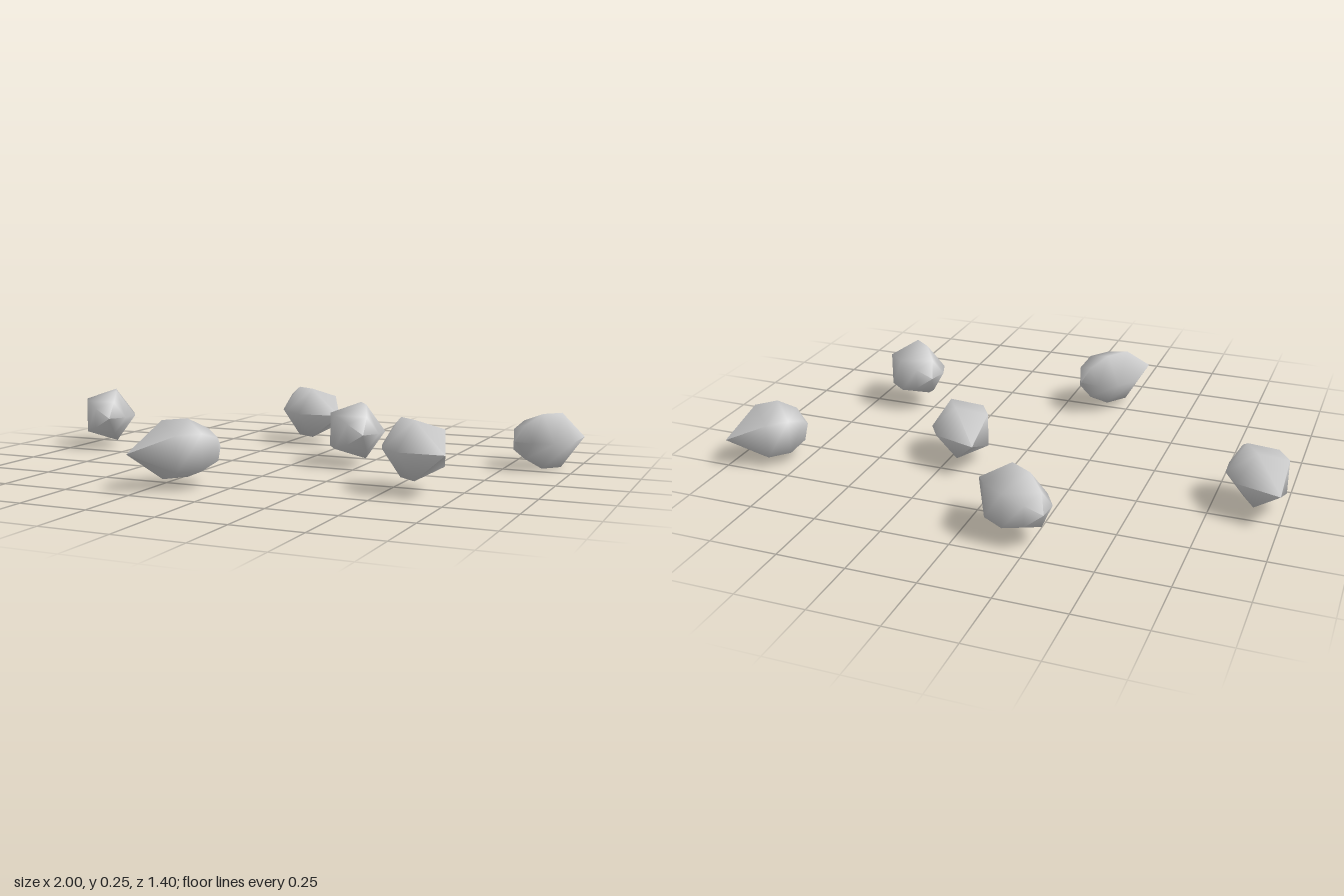
import * as THREE from 'three';

// Five-sided seed: pointed tip at the origin facing +z, rounded end behind it
function seedGeometry() {
  const profile = [[0, -0.35], [0.067, -0.315], [0.108, -0.24], [0.108, -0.145], [0, 0]]
    .map(([r, y]) => new THREE.Vector2(r, y));
  const geometry = new THREE.LatheGeometry(profile, 5);
  geometry.rotateY(-Math.PI / 2); // one corner points sideways
  geometry.rotateX(Math.PI / 2);  // lay it down, tip forward
  return geometry;
}

export function createModel() {
  const group = new THREE.Group();
  group.name = 'scatteredSeeds';
  const material = new THREE.MeshStandardMaterial({ color: 0xcccccc });
  const geometry = seedGeometry();

  // tip position x, y, z; pointing direction dx, dz; length factor
  const seeds = [
    [-1.0, 0.127, -0.29, -0.555, -0.832, 0.9],
    [0.105, 0.127, -0.29, -0.555, -0.832, 0.9],
    [-0.005, 0.127, -0.495, 0.855, 0.519, 1],
    [1.0, 0.103, -0.5, 0.669, -0.743, 0.9],
    [0.727, 0.147, 0.396, 0.783, 0.622, 0.9],
    [-0.289, 0.127, 0.697, -0.597, 0.802, 1],
  ];
  seeds.forEach(([x, y, z, dx, dz, length], i) => {
    const seed = new THREE.Mesh(geometry, material);
    seed.name = `seed${i + 1}`;
    seed.position.set(x, y, z);
    seed.rotation.y = Math.atan2(dx, dz);
    seed.scale.z = length;
    group.add(seed);
  });
  return group;
}
